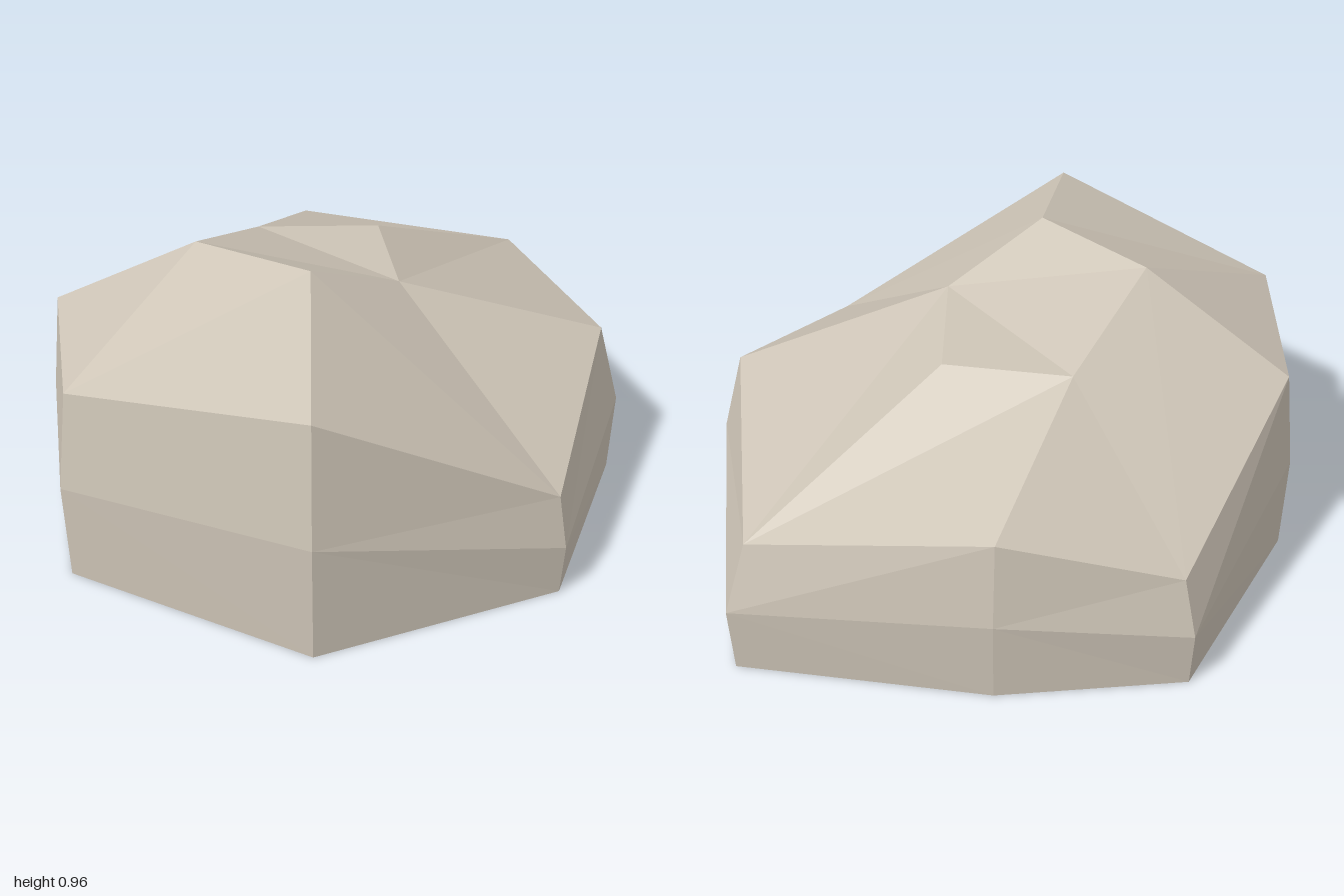
import * as THREE from 'three';

export function createModel() {
  const group = new THREE.Group();
  const stone = new THREE.MeshStandardMaterial({ color: 0xcdc4b6, flatShading: true });
  stone.name = 'warm grey stone';

  // Widest outline [x, z], counterclockwise from the front corner
  const girth = [[-0.07, 1], [0.715, 0.665], [0.955, -0.07], [0.70, -0.99],
    [-0.12, -1], [-0.71, -0.845], [-0.96, -0.08], [-0.86, 0.575]];
  // Uneven upper rim [x, y, z]
  const rim = [[-0.07, 0.805, 0.95], [0.69, 0.35, 0.64], [0.885, 0.548, -0.07], [0.645, 0.445, -0.93],
    [-0.12, 0.55, -0.96], [-0.67, 0.375, -0.81], [-0.93, 0.655, -0.08], [-0.83, 0.665, 0.55]];
  // Crown corners: peak, right, back right, back left, left
  const crown = [[-0.08, 0.957, 0.305], [0.2, 0.8, 0.075], [0.14, 0.78, -0.37],
    [-0.27, 0.775, -0.37], [-0.45, 0.935, 0.06]];

  const n = girth.length;
  const base = girth.map(([x, z]) => [x * 0.985, 0, z * 0.985]);
  const middle = girth.map(([x, z], i) => [x, rim[i][1] / 2, z]);
  const points = [...base, ...middle, ...rim, ...crown];
  const index = [];

  // Two bands of side facets
  for (let band = 0; band < 2; band++) {
    for (let i = 0; i < n; i++) {
      const a = band * n + i, b = band * n + (i + 1) % n;
      if (band === 0) index.push(a, b, a + n, b, b + n, a + n);
      else index.push(a, b, b + n, a, b + n, a + n);
    }
  }

  // Flat underside
  for (let i = 1; i < n - 1; i++) index.push(0, i + 1, i);

  // Top facets: 0-7 are rim corners, 8-12 are crown corners
  const facets = [
    [0, 1, 8], [1, 9, 8], [1, 2, 9], [2, 3, 9], [3, 10, 9], [3, 11, 10],
    [3, 4, 11], [4, 5, 11], [5, 12, 11], [5, 6, 12], [6, 7, 12], [7, 8, 12],
    [7, 0, 8], [8, 9, 12], [9, 11, 12], [9, 10, 11],
  ];
  for (const f of facets) index.push(...f.map((k) => k + 2 * n));

  const indexed = new THREE.BufferGeometry();
  indexed.setAttribute('position', new THREE.Float32BufferAttribute(points.flat(), 3));
  indexed.setIndex(index);
  const geometry = indexed.toNonIndexed();
  geometry.computeVertexNormals();

  const rock = new THREE.Mesh(geometry, stone);
  rock.name = 'rock';
  group.add(rock);
  return group;
}
